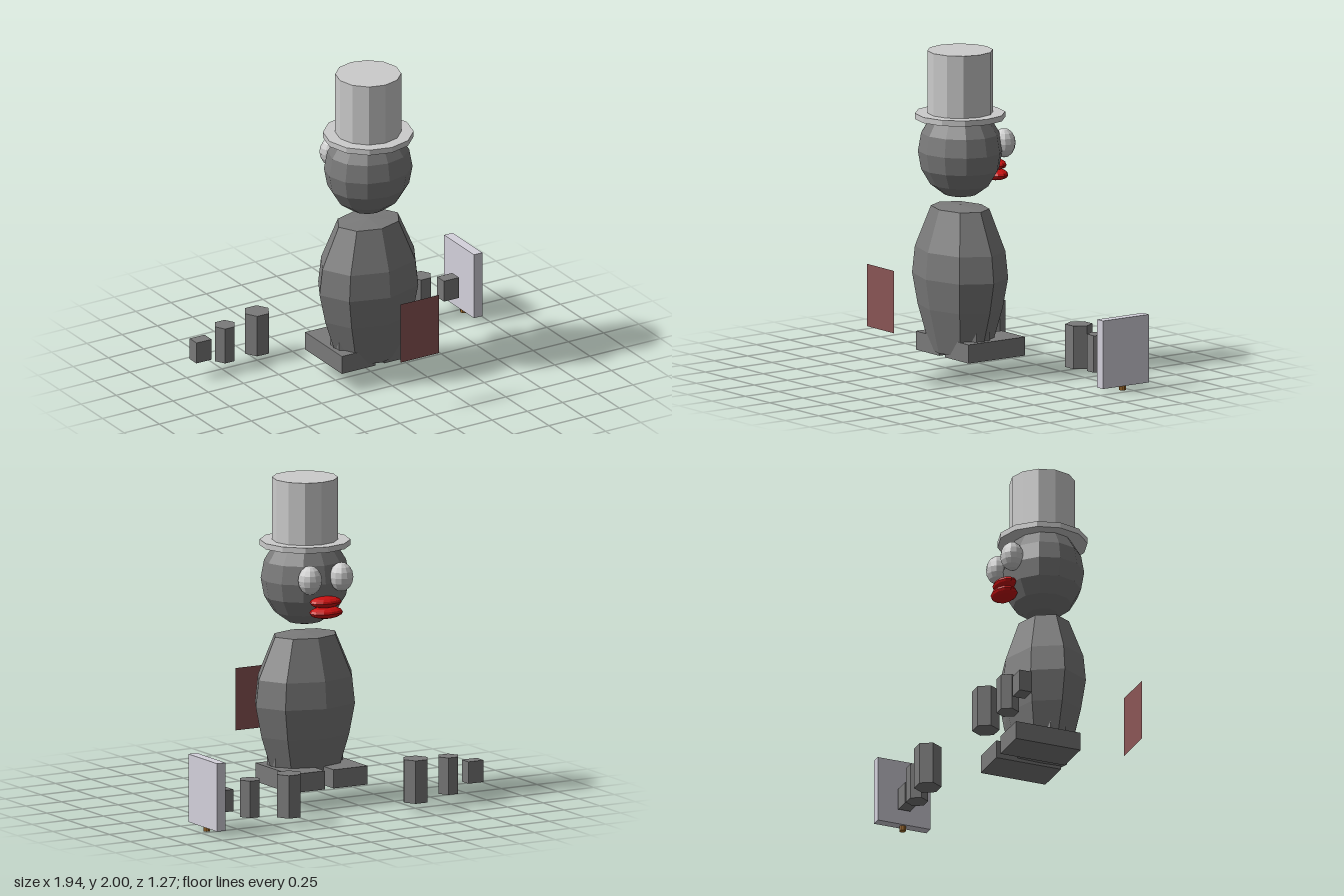
import * as THREE from 'three';

const paint = (color, extra = {}) => new THREE.MeshStandardMaterial({ color, flatShading: true, ...extra });

export function createModel() {
  const model = new THREE.Group();
  const dark = paint(0x7a7a7a);
  const light = paint(0xcccccc);
  const red = paint(0xcc1010);
  const MID = -0.042; // the figure's own centre line
  const DEPTH = 0.04;

  const add = (name, geometry, material, x, y, z) => {
    const mesh = new THREE.Mesh(geometry, material);
    mesh.name = name;
    mesh.position.set(x, y, z);
    model.add(mesh);
    return mesh;
  };
  const ball = (rx, ry, rz, w, h) => new THREE.SphereGeometry(1, w, h).scale(rx, ry, rz);
  const prism = (r, h, sides, turn = 0) => new THREE.CylinderGeometry(r, r, h, sides).rotateY(turn);

  // Eight-sided barrel body, flattened front to back
  const profile = [[0, 0.14], [0.215, 0.145], [0.305, 0.42], [0.345, 0.61], [0.325, 0.775], [0.21, 1.03], [0, 1.045]]
    .map(([r, y]) => new THREE.Vector2(r, y));
  add('body', new THREE.LatheGeometry(profile, 8).scale(1, 1, 0.746), dark, MID, 0, DEPTH);

  // Head and top hat
  add('head', ball(0.275, 0.29, 0.25, 12, 8), dark, MID, 1.38, DEPTH);
  add('hatBrim', prism(0.275, 0.035, 12), light, MID, 1.5975, DEPTH);
  add('hatCrown', prism(0.2, 0.385, 12), light, MID, 1.8075, DEPTH);

  // Lips
  add('upperLip', ball(0.105, 0.035, 0.068, 12, 8), red, MID, 1.27, -0.208);
  add('lowerLip', ball(0.11, 0.037, 0.076, 12, 8), red, MID, 1.207, -0.213);

  // Paired parts on both sides of the centre line
  for (const [side, s] of [['left', 1], ['right', -1]]) {
    const pair = (name, geometry, material, dx, y, z) => add(side + name, geometry, material, MID + s * dx, y, z);
    pair('Eye', ball(0.073, 0.09, 0.071, 12, 8), light, 0.11, 1.415, -0.208);
    pair('Leg', prism(0.1, 0.22, 6), dark, 0.15, 0.3, DEPTH);
    pair('Foot', new THREE.BoxGeometry(0.24, 0.115, 0.425), dark, 0.15, 0.18, -0.0375);
    pair('UpperArm', prism(0.083, 0.265, 6, Math.PI / 6), dark, 0.445, 0.182, -0.525);
    pair('LowerArm', prism(0.068, 0.228, 6, Math.PI / 6), dark, 0.696, 0.183, -0.487);
    pair('Hand', new THREE.BoxGeometry(0.107, 0.135, 0.08), dark, 0.878, 0.183, -0.47);
  }

  // Upright board with a small peg below
  add('board', new THREE.BoxGeometry(0.06, 0.42, 0.345), paint(0xd4d2dc), 0.94, 0.24, -0.4625);
  add('boardPeg', prism(0.021, 0.03, 8), paint(0xa8702c), 0.94, 0.015, -0.46);

  // Thin cloth panel standing clear of the back
  add('backPanel', new THREE.PlaneGeometry(0.275, 0.385), paint(0x8a5555, { side: THREE.DoubleSide }), MID, 0.535, 0.637);

  return model;
}
